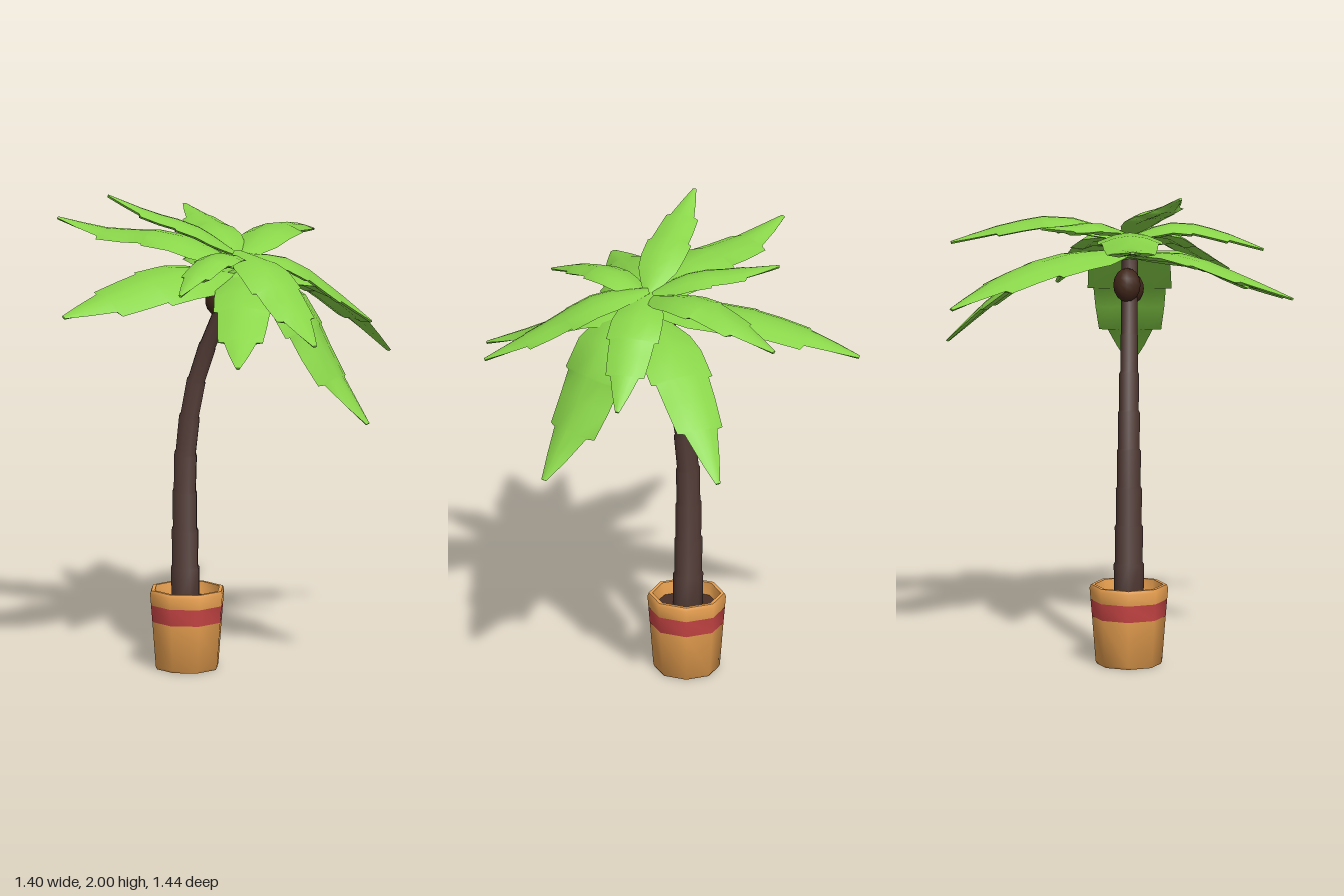
import * as THREE from 'three';
import { toCreasedNormals } from 'three/addons/utils/BufferGeometryUtils.js';

const V = (x, y, z) => new THREE.Vector3(x, y, z);
const paint = (color) => new THREE.MeshStandardMaterial({ color });

// Closed skin over equal rings of points, each running counter-clockwise about the path
function loft(rings) {
  const n = rings[0].length, last = rings.length - 1;
  const index = [];
  for (let i = 0; i < last; i++) {
    for (let j = 0; j < n; j++) {
      const a = i * n + j, b = i * n + (j + 1) % n;
      index.push(a, b, b + n, a, b + n, a + n);
    }
  }
  for (let j = 1; j < n - 1; j++) {
    index.push(0, j + 1, j);
    index.push(last * n, last * n + j, last * n + j + 1);
  }
  const geo = new THREE.BufferGeometry().setFromPoints(rings.flat());
  geo.setIndex(index);
  return toCreasedNormals(geo, 1.2);
}

// Leaf outline: position along the midrib, share of the full half width
const OUTLINE = [
  [0, 0.25], [0.1, 0.6], [0.2, 0.88], [0.32, 0.98], [0.48, 1], [0.488, 0.86],
  [0.6, 0.82], [0.74, 0.74], [0.75, 0.54], [0.88, 0.32], [1, 0.08],
];
// Across the leaf: side, drop, underside
const SECTION = [
  [1, 0.28, 0], [0.5, 0.08, 0], [0, 0, 0], [-0.5, 0.08, 0],
  [-1, 0.28, 0], [-0.5, 0.09, 1], [0, 0, 1], [0.5, 0.09, 1],
];

function frondGeometry(points, width, roll) {
  const curve = new THREE.CatmullRomCurve3(points);
  return loft(OUTLINE.map(([t, share]) => {
    const p = curve.getPointAt(t), dir = curve.getTangentAt(t);
    const side = V(0, 1, 0).cross(dir).normalize().applyAxisAngle(dir, roll);
    const up = dir.clone().cross(side);
    const w = width * share, thick = 0.008 + 0.027 * share;
    return SECTION.map(([u, drop, under]) => p.clone()
      .addScaledVector(side, u * w)
      .addScaledVector(up, -drop * w - under * thick));
  }));
}

export function createModel() {
  const group = new THREE.Group();
  const add = (name, geo, material) => {
    const mesh = new THREE.Mesh(geo, material);
    mesh.name = name;
    group.add(mesh);
    return mesh;
  };

  // Eight-sided pot in three turned pieces, plus soil
  const clay = paint(0xe8a050), red = paint(0xc84545);
  const turned = (name, profile, material) => {
    const geo = new THREE.LatheGeometry(profile.map(([r, y]) => new THREE.Vector2(r, y)), 8);
    add(name, toCreasedNormals(geo, 0.9), material).position.set(-0.125, 0, 0.035);
  };
  turned('potBody', [[0, 0], [0.13, 0], [0.136, 0.01], [0.151, 0.2]], clay);
  turned('potBand', [[0.151, 0.2], [0.157, 0.27]], red);
  turned('potRim', [[0.157, 0.27], [0.161, 0.318], [0.155, 0.332], [0.14, 0.332], [0.13, 0.27]], clay);
  turned('soil', [[0.135, 0.28], [0, 0.285]], paint(0x4a3028));

  // Leaning trunk: stacked segments, each flaring a little at its top
  const lean = new THREE.CatmullRomCurve3([
    V(-0.132, 0.27, 0.035), V(-0.135, 0.6, 0.035), V(-0.13, 0.92, 0.035),
    V(-0.085, 1.2, 0.035), V(-0.015, 1.4, 0.035), V(0.04, 1.52, 0.035), V(0.095, 1.65, 0.035),
  ]);
  const trunkRings = [], segments = 9;
  const trunkRing = (t, r) => {
    const c = lean.getPointAt(t);
    trunkRings.push(Array.from({ length: 8 }, (_, j) => {
      const a = j * Math.PI / 4;
      return V(c.x + r * Math.cos(a), c.y - 0.45 * t * r * Math.cos(a), c.z - r * Math.sin(a));
    }));
  };
  for (let i = 0; i < segments; i++) {
    const t = i / segments, r = Math.max(0.062 - 0.038 * t, 0.034);
    trunkRing(t, r * 0.98);
    trunkRing(t + 0.94 / segments, r);
  }
  add('trunk', loft(trunkRings), paint(0x4c3631));

  // Coconuts under the crown
  const husk = paint(0x40261a);
  [[0.015, 1.555, 0.025, 0.056, 0.07, -0.2], [0.115, 1.52, 0.05, 0.043, 0.062, 0.15]]
    .forEach(([x, y, z, r, h, tilt]) => {
      const nut = add('coconut', new THREE.SphereGeometry(1, 12, 8), husk);
      nut.position.set(x, y, z);
      nut.scale.set(r, h, r);
      nut.rotation.z = tilt;
    });

  // Fronds: base height, two midrib points, tip, half width, roll about the midrib
  const leaf = paint(0x8ad64a);
  const fronds = [
    [1.69, [-0.10, 1.70, -0.24], [-0.28, 1.63, -0.50], [-0.41, 1.54, -0.69], 0.15, 0],
    [1.74, [0.12, 1.82, -0.25], [0.11, 1.79, -0.47], [0.09, 1.72, -0.70], 0.112, 0],
    [1.67, [0.24, 1.63, -0.26], [0.35, 1.45, -0.52], [0.43, 1.24, -0.72], 0.135, 0],
    [1.76, [0.29, 1.725, -0.09], [0.43, 1.605, -0.18], [0.57, 1.46, -0.27], 0.11, 0],
    [1.68, [0.33, 1.635, 0.03], [0.55, 1.30, 0.03], [0.70, 1.10, 0.03], 0.172, 0],
    [1.77, [0.28, 1.745, 0.15], [0.46, 1.63, 0.28], [0.65, 1.50, 0.43], 0.115, 0],
    [1.67, [0.24, 1.65, 0.25], [0.33, 1.53, 0.47], [0.41, 1.43, 0.66], 0.125, 0],
    [1.74, [0.12, 1.795, 0.22], [0.11, 1.76, 0.41], [0.11, 1.69, 0.585], 0.09, 0],
    [1.67, [-0.06, 1.70, 0.27], [-0.23, 1.64, 0.52], [-0.36, 1.58, 0.71], 0.15, -0.3],
    [1.76, [-0.05, 1.87, 0.10], [-0.22, 1.93, 0.18], [-0.38, 2.00, 0.25], 0.095, 0],
    [1.71, [-0.18, 1.815, 0.04], [-0.48, 1.81, 0.05], [-0.70, 1.84, 0.06], 0.135, 0],
    [1.75, [-0.04, 1.825, -0.09], [-0.17, 1.84, -0.20], [-0.31, 1.86, -0.32], 0.095, 0],
  ];
  for (const [y, a, b, tip, width, roll] of fronds) {
    add('frond', frondGeometry([V(0.1, y, 0.03), V(...a), V(...b), V(...tip)], width, roll), leaf);
  }
  return group;
}
